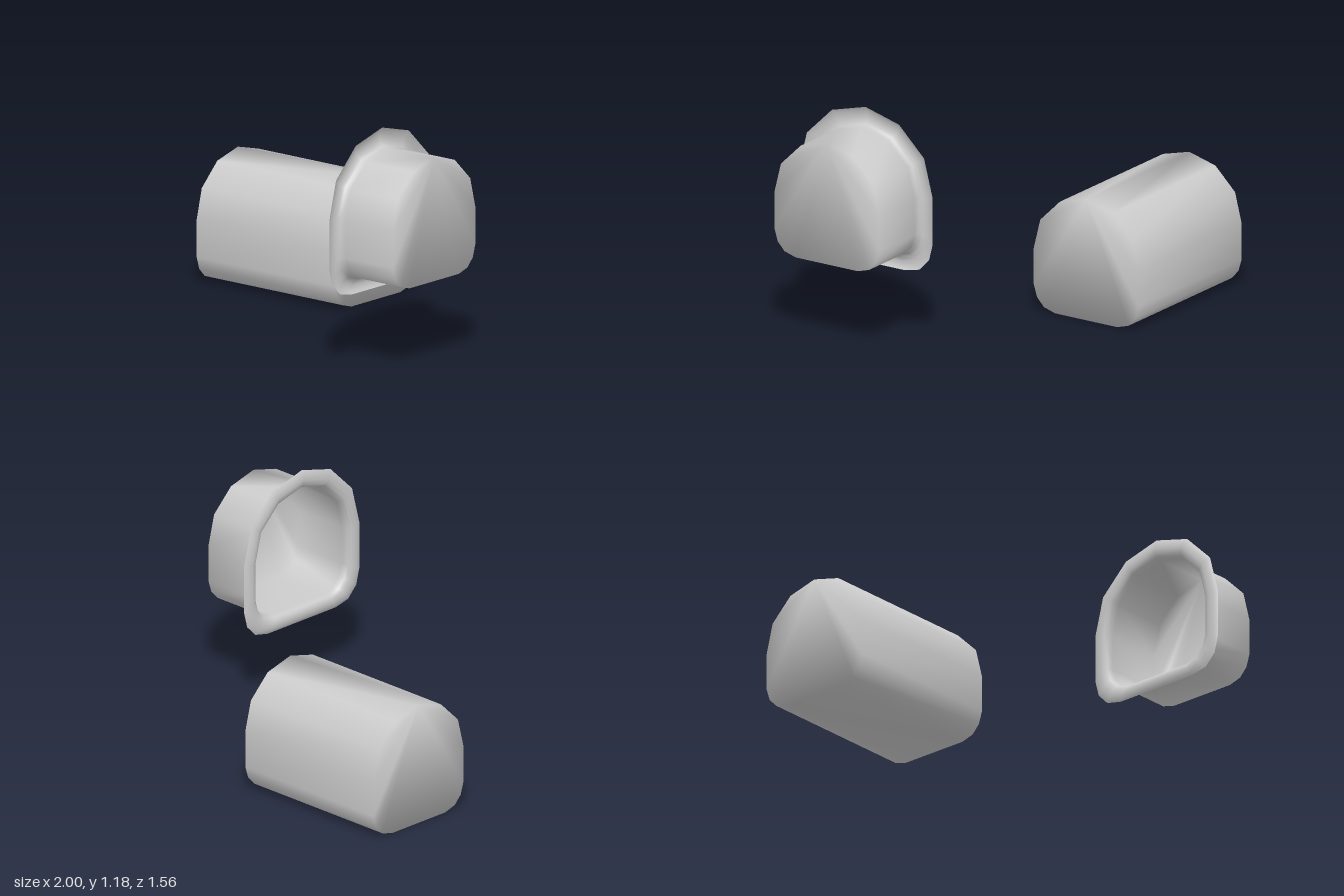
import * as THREE from 'three';

// Half profiles [dz, y], from the crown down to the flat base
const BODY = [[0, 0.64], [0.16, 0.598], [0.28, 0.48], [0.32, 0.322], [0.32, 0.13], [0.3, 0.065], [0.258, 0.02], [0.19, 0]];
const FLANGE = [[0, 0.74], [0.205, 0.685], [0.358, 0.535], [0.41, 0.335], [0.41, 0.085], [0.388, 0.0], [0.33, -0.06], [0.24, -0.08]];

// Closed outline, blended from body (t = 0) to flange (t = 1)
function outline(t) {
  const half = BODY.map(([z, y], i) => [
    THREE.MathUtils.lerp(z, FLANGE[i][0], t),
    THREE.MathUtils.lerp(y, FLANGE[i][1], t),
  ]);
  return [...half, ...half.slice(1).reverse().map(([z, y]) => [-z, y])];
}

// Skin rings [x, t] in order of rising x, with optional end caps
function loft(name, rings, y0, z0, capStart, capEnd) {
  const positions = [];
  const index = [];
  const n = BODY.length * 2 - 1;
  for (const [x, t] of rings) {
    for (const [z, y] of outline(t)) positions.push(x, y + y0, z + z0);
  }
  for (let r = 0; r < rings.length - 1; r++) {
    for (let i = 0; i < n; i++) {
      const a = r * n + i;
      const b = r * n + (i + 1) % n;
      index.push(a, b, a + n, b, b + n, a + n);
    }
  }
  const last = (rings.length - 1) * n;
  for (let i = 1; i < n - 1; i++) {
    if (capStart) index.push(0, i + 1, i);
    if (capEnd) index.push(last, last + i, last + i + 1);
  }
  const geometry = new THREE.BufferGeometry();
  geometry.setAttribute('position', new THREE.Float32BufferAttribute(positions, 3));
  geometry.setIndex(index);
  geometry.computeVertexNormals();
  const mesh = new THREE.Mesh(geometry, new THREE.MeshStandardMaterial({ color: 0xcccccc, side: THREE.DoubleSide }));
  mesh.name = name;
  return mesh;
}

export function createModel() {
  const group = new THREE.Group();
  group.name = 'plugAndSocket';

  // Long closed block
  group.add(loft('longBlock', [[-1, 0], [-0.09, 0]], 0, -0.46, true, true));

  // Short hollow cup with a curled flange around its open end
  const cupRings = [[0.658, 1], [0.647, 0.8], [0.643, 0.5], [0.648, 0.25], [0.66, 0.08], [0.69, 0], [1, 0]];
  group.add(loft('flangedCup', cupRings, 0.44, 0.37, false, true));

  return group;
}
